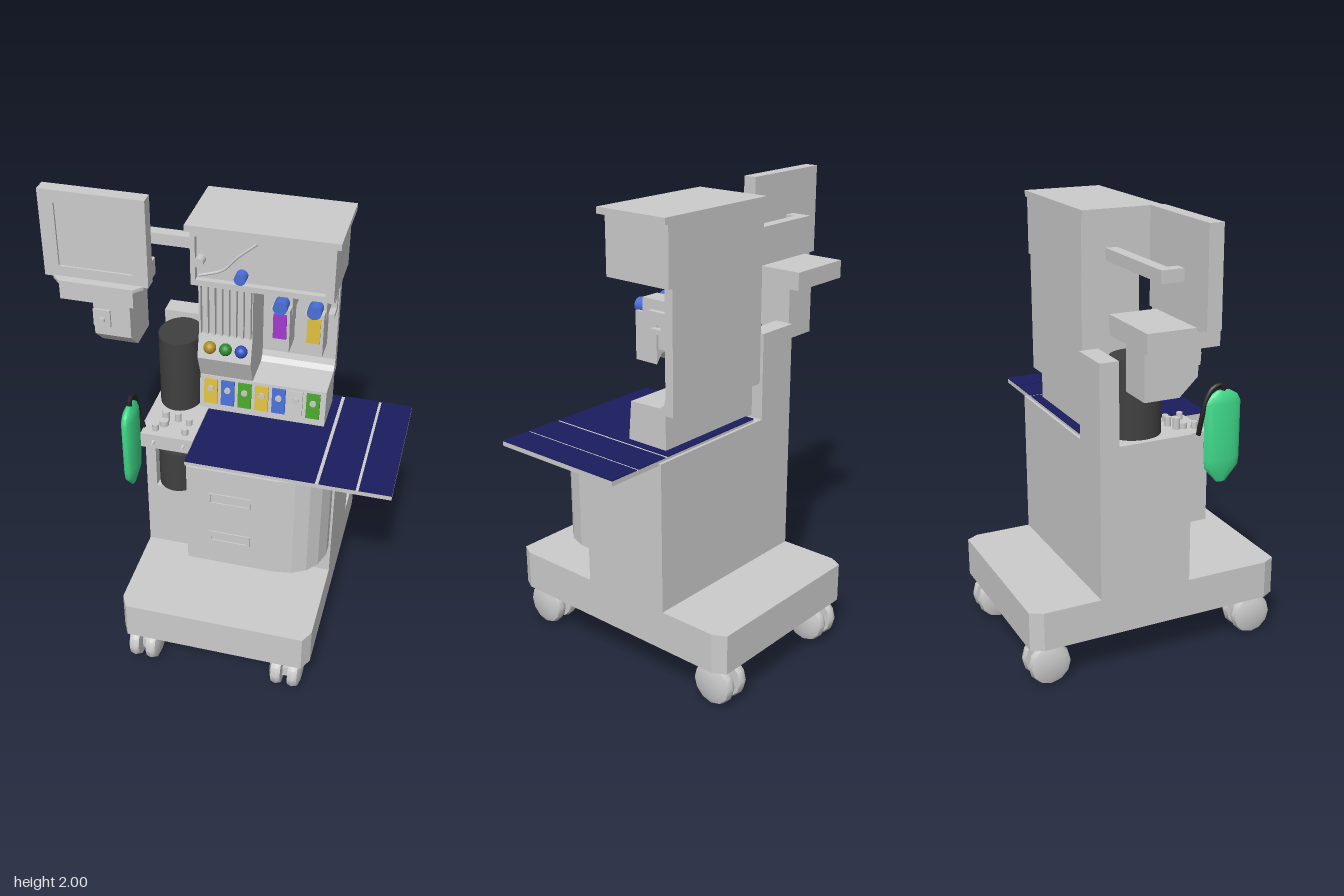
import * as THREE from 'three';
import { toCreasedNormals } from 'three/addons/utils/BufferGeometryUtils.js';

const GREY = 0xcccccc, YELLOW = 0xe0c040, BLUE = 0x4a70d8, GREEN = 0x4aa52a, DARK = 0x404040, NAVY = 0x1a1d5e;
const materials = {};
const mat = (c) => (materials[c] ??= new THREE.MeshStandardMaterial({ color: c }));

export function createModel() {
  const root = new THREE.Group();

  const add = (name, geo, color = GREY, x = 0, y = 0, z = 0) => {
    const m = new THREE.Mesh(geo, mat(color));
    m.name = name;
    m.position.set(x, y, z);
    root.add(m);
    return m;
  };
  // Box given by its limits
  const box = (name, x0, x1, y0, y1, z0, z1, color) =>
    add(name, new THREE.BoxGeometry(x1 - x0, y1 - y0, z1 - z0), color, (x0 + x1) / 2, (y0 + y1) / 2, (z0 + z1) / 2);
  const shapeOf = (pts) => new THREE.Shape(pts.map(([a, b]) => new THREE.Vector2(a, b)));
  // Side profile of [z, y] points extruded along x
  const alongX = (name, pts, x0, x1, color) =>
    add(name, new THREE.ExtrudeGeometry(shapeOf(pts.map(([z, y]) => [-z, y])), { depth: x1 - x0, bevelEnabled: false })
      .rotateY(Math.PI / 2), color, x0);
  // Floor plan of [x, z] points extruded along y
  const alongY = (name, pts, y0, y1, color) =>
    add(name, new THREE.ExtrudeGeometry(shapeOf(pts.map(([x, z]) => [x, -z])), { depth: y1 - y0, bevelEnabled: false })
      .rotateX(-Math.PI / 2), color, 0, y0);
  // Front outline of [x, y] points extruded along z, with an optional rectangular opening
  const rect = (x0, x1, y0, y1) => [[x0, y0], [x1, y0], [x1, y1], [x0, y1]];
  const alongZ = (name, pts, z0, z1, hole, color) => {
    const s = shapeOf(pts);
    if (hole) s.holes.push(shapeOf(hole));
    return add(name, new THREE.ExtrudeGeometry(s, { depth: z1 - z0, bevelEnabled: false }), color, 0, 0, z0);
  };
  const dial = (name, x, y, z, r, len, color) =>
    add(name, new THREE.CylinderGeometry(r, r, len, 20).rotateX(Math.PI / 2), color, x, y, z);
  const tube = (name, pts, r, color) =>
    add(name, new THREE.TubeGeometry(new THREE.CatmullRomCurve3(pts.map((p) => new THREE.Vector3(...p))), 20, r, 8), color);

  // Base with chamfered corners
  alongY('base', [[-0.29, -0.59], [0.49, -0.59], [0.52, -0.535], [0.52, 0.535], [0.49, 0.59], [-0.29, 0.59],
    [-0.32, 0.535], [-0.32, -0.535]], 0.19, 0.365);

  // Twin wheel casters
  const wheelProfile = [[0, -0.028], [0.06, -0.026], [0.088, -0.016], [0.095, 0.006], [0.088, 0.026], [0, 0.028]]
    .map(([r, h]) => new THREE.Vector2(r, h));
  const wheel = toCreasedNormals(new THREE.LatheGeometry(wheelProfile, 12).rotateZ(-Math.PI / 2), 0.7);
  for (const x of [-0.23, 0.415]) for (const z of [-0.495, 0.495]) {
    for (const s of [-1, 1]) {
      const w = add('casterWheel', wheel, GREY, x + s * 0.042, 0.096, z);
      if (s > 0) w.rotation.y = Math.PI;
    }
    box('casterAxle', x - 0.03, x + 0.03, 0.05, 0.1, z - 0.03, z + 0.03);
    add('casterStem', new THREE.CylinderGeometry(0.012, 0.012, 0.12, 10), GREY, x, 0.14, z);
  }

  // Main body with a front niche for the lower canister
  box('bodyRear', -0.32, 0.52, 0.365, 1.02, -0.275, -0.02);
  alongZ('bodyFront', rect(-0.32, 0.52, 0.365, 1.02), -0.02, 0.145, rect(-0.275, -0.08, 0.69, 0.95));
  add('lowerCanister', new THREE.CylinderGeometry(0.086, 0.086, 0.2, 24), DARK, -0.18, 0.82, 0.11);
  box('canisterLid', -0.235, -0.125, 0.92, 0.95, 0.05, 0.17);

  // Drawer cabinet, rounded at one front corner
  const corner = new THREE.QuadraticBezierCurve(new THREE.Vector2(0.31, 0.365), new THREE.Vector2(0.48, 0.36),
    new THREE.Vector2(0.51, 0.2)).getPoints(4).map((p) => [p.x, p.y]);
  alongY('drawerCabinet', [[-0.07, 0.1], [-0.07, 0.365], ...corner, [0.51, 0.1]], 0.51, 1.015);
  for (const y of [0.63, 0.84])
    alongZ('drawerHandle', rect(0.025, 0.205, y, y + 0.055), 0.36, 0.37, rect(0.035, 0.195, y + 0.008, y + 0.047));

  // Worktop: grey board with navy mats split by strips
  box('worktop', -0.08, 0.775, 1.01, 1.03, -0.262, 0.355);
  for (const [x0, x1] of [[-0.08, 0.465], [0.48, 0.63], [0.642, 0.775]])
    box('worktopMat', x0, x1, 1.03, 1.034, -0.262, 0.355, NAVY);

  // Side deck with its ports
  box('sideDeck', -0.32, -0.08, 1.0, 1.04, -0.19, 0.145);
  box('sideDeckFront', -0.31, -0.08, 0.97, 1.04, 0.14, 0.23);
  for (const [x, z, r, h] of [[-0.18, 0.105, 0.014, 0.04], [-0.127, 0.12, 0.014, 0.03], [-0.23, 0.148, 0.02, 0.025],
    [-0.255, 0.19, 0.014, 0.03], [-0.125, 0.19, 0.014, 0.03], [-0.23, 0.118, 0.016, 0.05]])
    add('deckPort', new THREE.CylinderGeometry(r, r, h, 14), GREY, x, 1.04 + h / 2, z);
  for (const x of [-0.255, -0.125])
    add('deckStud', new THREE.ConeGeometry(0.01, 0.03, 10).rotateX(Math.PI / 2), GREY, x, 1.005, 0.243);

  // Rear post and upper canister
  box('rearPost', -0.32, -0.12, 1.0, 1.4, -0.275, -0.19);
  add('upperCanister', new THREE.CylinderGeometry(0.092, 0.092, 0.34, 28).scale(1, 1, 1.2), DARK, -0.212, 1.215, -0.065);

  // Tower spine curving into the lower console
  alongX('tower', [[-0.26, 1.7], [-0.22, 1.7], [-0.22, 1.25], [-0.212, 1.222], [-0.19, 1.205], [-0.035, 1.2],
    [-0.02, 1.03], [-0.22, 1.03], [-0.22, 1.18], [-0.26, 1.18]], -0.12, 0.43);
  box('headRear', -0.125, 0.45, 1.695, 1.94, -0.26, 0.04);
  alongZ('headFront', rect(-0.125, 0.45, 1.695, 1.94), 0.04, 0.065, rect(-0.105, 0.415, 1.72, 1.91));
  box('topSlab', -0.14, 0.47, 1.94, 1.967, -0.262, 0.09);
  tube('headTrim', [[-0.095, 1.73, 0.042], [0, 1.765, 0.042], [0.06, 1.83, 0.042], [0.14, 1.9, 0.042]], 0.006);
  dial('headButton', -0.087, 1.805, 0.06, 0.02, 0.045);
  dial('headDial', 0.08, 1.755, 0.06, 0.024, 0.05, BLUE);

  // Flow column: ribbed tubes above a slanted panel with round knobs
  alongX('flowColumn', [[-0.23, 1.7], [-0.025, 1.7], [-0.025, 1.42], [0.005, 1.31], [-0.04, 1.2], [-0.23, 1.2]], -0.12, 0.11);
  for (let i = 0; i < 8; i++) {
    const x = -0.108 + i * 0.03;
    box('flowRib', x - 0.004, x + 0.004, 1.43, 1.695, -0.03, 0);
  }
  [0xb09020, 0x2e8b2e, 0x3050c0].forEach((c, i) =>
    add('flowKnob', new THREE.SphereGeometry(0.027, 16, 10), c, -0.065 + i * 0.067, 1.37, 0.005));

  // Vaporizers with dial, coloured label and pointed foot
  for (const [x, c] of [[0.22, 0xa23ad0], [0.36, YELLOW]]) {
    box('vaporizerTop', x - 0.042, x + 0.042, 1.53, 1.63, -0.22, -0.08);
    alongZ('vaporizerBody', [[x - 0.04, 1.37], [x - 0.01, 1.41], [x + 0.01, 1.41], [x + 0.04, 1.37], [x + 0.04, 1.57],
      [x - 0.04, 1.57]], -0.15, -0.04);
    box('vaporizerMount', x - 0.03, x + 0.03, 1.43, 1.55, -0.22, -0.14);
    box('vaporizerLabel', x - 0.028, x + 0.028, 1.435, 1.55, -0.045, -0.034, c);
    dial('vaporizerDial', x, 1.583, -0.055, 0.03, 0.06, BLUE);
  }
  // Side bracket
  box('sideHookTop', 0.4, 0.425, 1.575, 1.59, -0.21, -0.13);
  box('sideHookBack', 0.4, 0.425, 1.5, 1.59, -0.222, -0.195);
  box('sideHookEnd', 0.4, 0.425, 1.5, 1.52, -0.2, -0.14);

  // Coloured tiles on the leaning console front
  [YELLOW, BLUE, GREEN, YELLOW, BLUE, GREY, GREEN].forEach((c, i) => {
    const x = -0.07 + i * 0.0745;
    const tile = add('consoleTile', new THREE.BoxGeometry(0.058, 0.118, 0.014), c, x, 1.128, -0.026);
    tile.rotation.x = -0.094;
    dial('tileButton', x, 1.145, -0.022, 0.014, 0.016);
  });

  // Monitor, its arm and the control unit below
  alongZ('monitorFrame', rect(-0.775, -0.325, 1.61, 2), -0.02, 0, rect(-0.71, -0.39, 1.66, 1.945));
  box('monitorBack', -0.775, -0.325, 1.61, 2, -0.06, -0.01);
  box('monitorArm', -0.6, -0.12, 1.76, 1.81, -0.155, -0.105);
  box('monitorArmEnd', -0.6, -0.55, 1.76, 1.81, -0.155, -0.055);
  box('controlShelf', -0.7, -0.38, 1.53, 1.61, -0.26, 0);
  alongY('controlShelfFront', [[-0.74, -0.06], [-0.74, 0], [-0.7, 0.04], [-0.38, 0.04], [-0.345, 0], [-0.345, -0.06]], 1.6, 1.615);
  box('controlLip', -0.7, -0.38, 1.53, 1.605, -0.02, 0.04);
  alongX('controlBlock', [[-0.2, 1.54], [0.03, 1.54], [0.03, 1.375], [-0.05, 1.3], [-0.2, 1.3]], -0.56, -0.4);
  box('controlPlate', -0.56, -0.485, 1.42, 1.5, 0.02, 0.04);
  dial('controlKnob', -0.52, 1.455, 0.045, 0.013, 0.025);

  // Breathing bag and its hose
  const bagProfile = [[0, 0.81], [0.022, 0.812], [0.08, 0.88], [0.085, 0.92], [0.085, 1.165], [0.07, 1.195], [0.03, 1.218], [0, 1.22]]
    .map(([r, y]) => new THREE.Vector2(r, y));
  add('breathingBag', toCreasedNormals(new THREE.LatheGeometry(bagProfile, 20).scale(0.32, 1, 1), 0.6), 0x3fd98a, -0.332, 0, 0.28);
  tube('bagHose', [[-0.332, 1.2, 0.285], [-0.332, 1.24, 0.275], [-0.332, 1.235, 0.235], [-0.33, 1.19, 0.205],
    [-0.325, 1.1, 0.185], [-0.31, 1.03, 0.18]], 0.011, 0x222222);

  return root;
}
